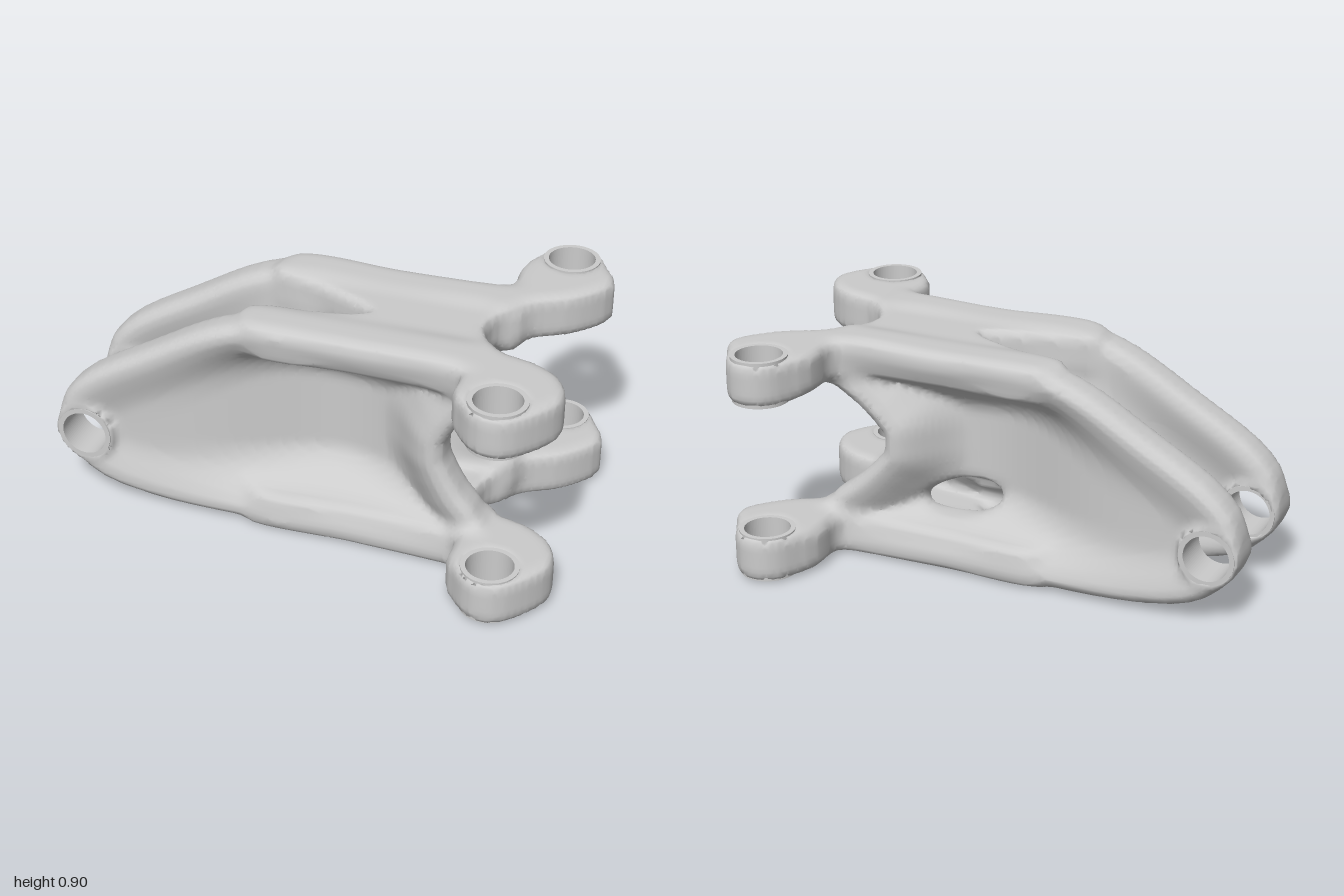
import * as THREE from 'three';

const material = new THREE.MeshStandardMaterial({ color: 0xcccccc });
const STEP = 0.02;
const ORIGIN = [-1.08, -0.08, -0.74];
const SIZE = [109, 54, 75];

// Blending helpers for the organic solid
const smin = (a, b, k) => Math.min(a, b) - Math.max(k - Math.abs(a - b), 0) ** 2 / (4 * k);
const smax = (a, b, k) => -smin(-a, -b, k);
const smooth = THREE.MathUtils.smoothstep;

// Closed, softly rounded outline -> signed distance function in 2D
function outline(points, samples) {
  const curve = new THREE.CatmullRomCurve3(points.map(([a, b]) => new THREE.Vector3(a, b, 0)), true);
  const pts = curve.getSpacedPoints(samples).slice(0, samples);
  return (px, py) => {
    let best = Infinity, inside = false;
    for (let i = 0, j = samples - 1; i < samples; j = i++) {
      const a = pts[i], b = pts[j];
      const ex = b.x - a.x, ey = b.y - a.y, wx = px - a.x, wy = py - a.y;
      const t = Math.min(1, Math.max(0, (wx * ex + wy * ey) / (ex * ex + ey * ey)));
      best = Math.min(best, (wx - ex * t) ** 2 + (wy - ey * t) ** 2);
      if ((a.y > py) !== (b.y > py) && px < ex * (py - a.y) / ey + a.x) inside = !inside;
    }
    return (inside ? -1 : 1) * Math.sqrt(best);
  };
}

// Side wall outline (x, y); the two walls differ in the depth of the rear notch
const wallOutline = (notch) => outline([
  [-1.0, 0.29], [-0.985, 0.41], [-0.9, 0.515], [-0.62, 0.69], [-0.36, 0.835], [-0.17, 0.887],
  [0.2, 0.878], [0.6, 0.885], [0.69, 0.85], [0.7, 0.73], [(0.6 + notch) / 2 + 0.03, 0.62],
  [notch, 0.49], [(0.6 + notch) / 2 + 0.03, 0.34], [0.7, 0.2], [0.69, 0.05], [0.6, 0.015],
  [0.1, 0.022], [-0.58, 0.025], [-0.84, 0.08], [-0.95, 0.17],
], 64);
const walls = [
  { shape: wallOutline(0.54), z: 0.263, inward: -1 },
  { shape: wallOutline(0.43), z: -0.18, inward: 1 },
];

// Plan outline (x, z) shared by the top and bottom plates with their splayed arms
const plateOutline = outline([
  [-0.2, 0.33], [0.2, 0.33], [0.5, 0.34], [0.61, 0.37], [0.62, 0.51], [0.7, 0.6], [0.79, 0.65],
  [0.87, 0.62], [0.96, 0.52], [1.0, 0.43], [0.96, 0.31], [0.85, 0.23], [0.7, 0.185], [0.61, 0.03],
  [0.7, -0.15], [0.88, -0.27], [0.985, -0.42], [0.94, -0.52], [0.87, -0.62], [0.79, -0.655],
  [0.7, -0.6], [0.62, -0.46], [0.615, -0.29], [0.55, -0.255], [0.2, -0.245], [-0.2, -0.245],
  [-0.25, -0.11], [-0.03, -0.035], [0.17, 0.07], [0, 0.125], [-0.25, 0.18],
], 100);

const PIVOT = [-0.885, 0.28];
const MOUNTS = [[0.79, 0.527], [0.79, -0.535]];

// Thick-rimmed wall whose thin web bows gently towards its neighbour
function wallField({ shape, z, inward }, x, y, pz) {
  const d = shape(x, y);
  const bow = 0.18 * Math.exp(-(((x - 0.1) / 0.4) ** 2)) * smooth(-d, 0.03, 0.29);
  const half = 0.083 - 0.04 * smooth(-d, 0.04, 0.22);
  const slab = Math.abs(pz - z - inward * bow) - half;
  const boss = smax(Math.hypot(x - PIVOT[0], y - PIVOT[1]) - 0.119, Math.abs(pz - z) - 0.083, 0.01);
  return smin(smax(d, slab, 0.06), boss, 0.02);
}

// Signed field of the whole body
function field(x, y, z) {
  let back = wallField(walls[1], x, y, z);
  // Opening low in the rear web
  const hx = x - 0.18, hy = y - 0.245 + hx * 0.1;
  const opening = (Math.hypot(hx / 0.15, hy / 0.065) - 1) * 0.065;
  if (z < 0.02) back = smax(back, -opening, 0.03);
  let d = smin(wallField(walls[0], x, y, z), back, 0.04);
  // Arms end in round eyes; plates are thinner between the walls
  const eyes = MOUNTS.map(([mx, mz]) => Math.hypot(x - mx, z - mz));
  const plan = smin(plateOutline(x, z), Math.min(...eyes) - 0.118, 0.02);
  const thin = 0.022 * (1 - smooth(x, 0.55, 0.7));
  const top = smax(plan, Math.abs(y - 0.805 - thin / 2) - 0.088 + thin, 0.035);
  const bottom = smax(plan, Math.abs(y - 0.1 + thin / 2) - 0.09 + thin, 0.035);
  d = smin(smin(d, top, 0.05), bottom, 0.05);
  // Bores
  d = Math.max(d, 0.095 - Math.hypot(x - PIVOT[0], y - PIVOT[1]));
  return Math.max(d, 0.095 - Math.min(...eyes));
}

// Surface-net skin over the field
function skin() {
  const [nx, ny, nz] = SIZE;
  const stride = [1, nx, nx * ny];
  const values = new Float32Array(nx * ny * nz);
  const cells = new Int32Array(values.length).fill(-1);
  const positions = [], indices = [];
  const each = (lo, hi, fn) => {
    for (let k = lo; k < nz - hi; k++)
      for (let j = lo; j < ny - hi; j++)
        for (let i = lo; i < nx - hi; i++) fn(i, j, k, i + j * nx + k * nx * ny);
  };
  each(0, 0, (i, j, k, n) => {
    values[n] = field(ORIGIN[0] + i * STEP, ORIGIN[1] + j * STEP, ORIGIN[2] + k * STEP);
  });
  // One vertex per crossed cell, at the mean of its edge crossings
  each(0, 1, (i, j, k, n) => {
    const sum = [0, 0, 0];
    let count = 0;
    for (let c = 0; c < 8; c++) {
      const bits = [c & 1, (c >> 1) & 1, (c >> 2) & 1];
      const m = n + bits[0] * stride[0] + bits[1] * stride[1] + bits[2] * stride[2];
      for (let a = 0; a < 3; a++) {
        if (bits[a]) continue;
        const u = values[m], v = values[m + stride[a]];
        if ((u < 0) === (v < 0)) continue;
        for (let b = 0; b < 3; b++) sum[b] += bits[b] + (a === b ? u / (u - v) : 0);
        count++;
      }
    }
    if (!count) return;
    cells[n] = positions.length / 3;
    [i, j, k].forEach((g, a) => positions.push(ORIGIN[a] + (g + sum[a] / count) * STEP));
  });
  // One quad per crossed grid edge
  each(1, 1, (i, j, k, n) => {
    for (let a = 0; a < 3; a++) {
      const inside = values[n] < 0;
      if (inside === (values[n + stride[a]] < 0)) continue;
      const b = stride[(a + 1) % 3], c = stride[(a + 2) % 3];
      const q = [cells[n - b - c], cells[n - c], cells[n], cells[n - b]];
      if (!inside) q.reverse();
      indices.push(q[0], q[1], q[2], q[0], q[2], q[3]);
    }
  });
  const geometry = new THREE.BufferGeometry();
  geometry.setAttribute('position', new THREE.Float32BufferAttribute(positions, 3));
  geometry.setIndex(indices);
  geometry.computeVertexNormals();
  return geometry;
}

// Crisp bushing lining a bore, axis along y
function bushing(name, length) {
  const shape = new THREE.Shape().absarc(0, 0, 0.108, 0, Math.PI * 2);
  shape.holes.push(new THREE.Path().absarc(0, 0, 0.089, 0, Math.PI * 2, true));
  const geometry = new THREE.ExtrudeGeometry(shape, { depth: length, bevelEnabled: false, curveSegments: 40 });
  geometry.translate(0, 0, -length / 2);
  geometry.rotateX(Math.PI / 2);
  const mesh = new THREE.Mesh(geometry, material);
  mesh.name = name;
  return mesh;
}

export function createModel() {
  const group = new THREE.Group();
  group.name = 'bracket';

  const body = new THREE.Mesh(skin(), material);
  body.name = 'bracketBody';
  group.add(body);

  // Pivot bushings through the nose of each wall
  for (const { z } of walls) {
    const ring = bushing('pivotBushing', 0.168);
    ring.rotation.x = Math.PI / 2;
    ring.position.set(PIVOT[0], PIVOT[1], z);
    group.add(ring);
  }

  // Mounting bushings at the ends of the four arms
  for (const [x, z] of MOUNTS) {
    for (const y of [0.1, 0.805]) {
      const ring = bushing('mountBushing', 0.178);
      ring.position.set(x, y, z);
      group.add(ring);
    }
  }
  return group;
}
